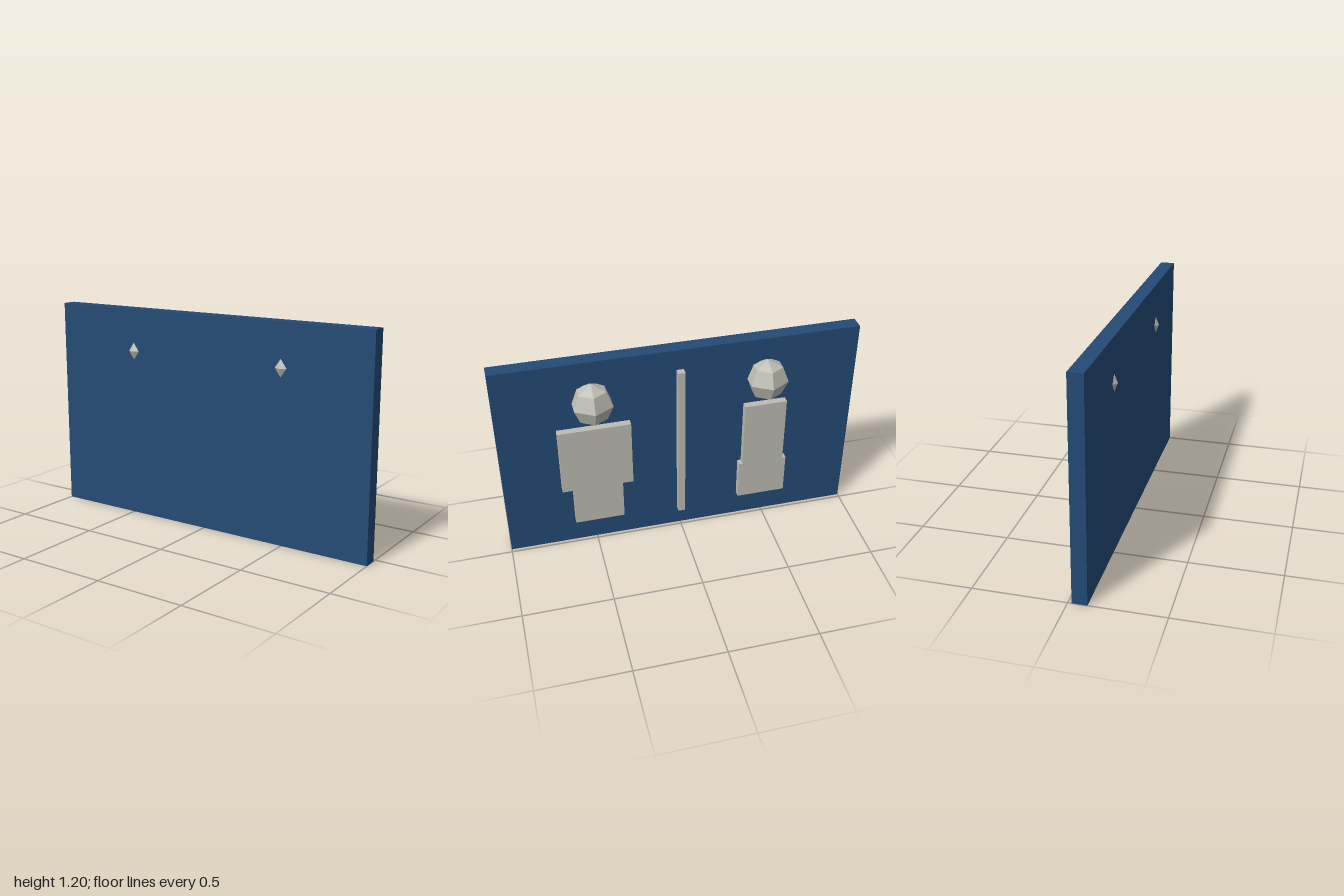
import * as THREE from 'three';

export function createModel() {
  const group = new THREE.Group();
  const boardBlue = new THREE.MeshStandardMaterial({ color: 0x234a75 });
  const paleGrey = new THREE.MeshStandardMaterial({ color: 0xbcbcb3 });
  paleGrey.flatShading = true;

  function add(name, geometry, material, x, y, z, parent = group) {
    const mesh = new THREE.Mesh(geometry, material);
    mesh.name = name;
    mesh.position.set(x, y, z);
    parent.add(mesh);
    return mesh;
  }

  // Sign board and the bar between the two figures
  add('board', new THREE.BoxGeometry(2, 1.2, 0.08), boardBlue, 0, 0.6, 0.06);
  add('divider', new THREE.BoxGeometry(0.04, 0.96, 0.04), paleGrey, 0, 0.6, 0);

  // Each figure: a faceted head above a two-step flat body
  const headGeometry = new THREE.SphereGeometry(0.12, 6, 4).rotateY(Math.PI / 2);
  function addFigure(name, x, upperWidth, lowerWidth) {
    const figure = new THREE.Group();
    figure.name = name;
    figure.position.x = x;
    group.add(figure);
    add('head', headGeometry, paleGrey, 0, 0.96, 0, figure);
    add('upperBody', new THREE.BoxGeometry(upperWidth, 0.4, 0.04), paleGrey, 0, 0.6, 0, figure);
    add('lowerBody', new THREE.BoxGeometry(lowerWidth, 0.24, 0.04), paleGrey, 0, 0.28, 0, figure);
  }
  addFigure('leftFigure', 0.48, 0.4, 0.28);
  addFigure('rightFigure', -0.48, 0.24, 0.28);

  return group;
}
